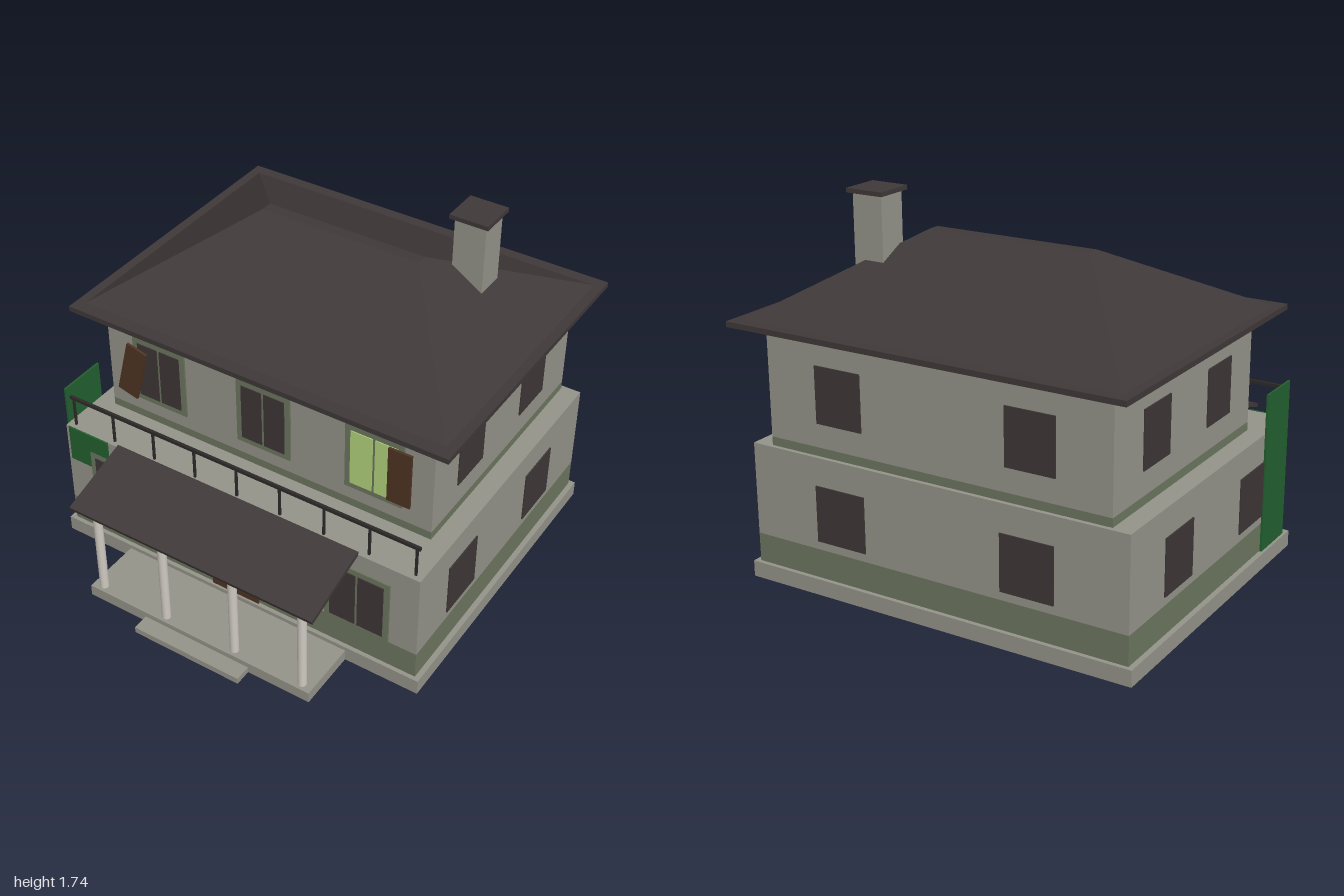
import * as THREE from 'three';

const colours = {
  wall: 0x94938a, roof: 0x3f3838, trim: 0x6c765f, wood: 0x4e3422, cloth: 0x22602f,
  litGlass: 0xb2d47c, column: 0xcfcac1, iron: 0x2e2929, brass: 0xd0ca8c, glass: 0x3e3636,
};

export function createModel() {
  const house = new THREE.Group();
  house.name = 'house';
  const mats = {};
  for (const [name, color] of Object.entries(colours)) {
    mats[name] = new THREE.MeshStandardMaterial({ color });
    mats[name].name = name;
  }

  function add(name, geometry, mat, parent = house) {
    const mesh = new THREE.Mesh(geometry, mats[mat]);
    mesh.name = name;
    parent.add(mesh);
    return mesh;
  }
  // Box given by its limits on each axis
  function block(name, mat, [x0, x1], [y0, y1], [z0, z1], parent) {
    const mesh = add(name, new THREE.BoxGeometry(x1 - x0, y1 - y0, z1 - z0), mat, parent);
    mesh.position.set((x0 + x1) / 2, (y0 + y1) / 2, (z0 + z1) / 2);
    return mesh;
  }

  // Plinth and porch steps
  block('plinth', 'wall', [-0.96, 0.96], [0, 0.075], [-0.92, 0.625]);
  block('porchFloor', 'wall', [-0.595, 0.595], [0, 0.055], [0.62, 0.92]);
  block('frontStep', 'wall', [-0.28, 0.28], [0, 0.03], [0.915, 1]);

  // Two storeys, each with a painted band at its foot
  const groundX = [-0.935, 0.935], groundZ = [-0.9, 0.605];
  const upperX = [-0.845, 0.845], upperZ = [-0.88, 0.36];
  block('groundBand', 'trim', groundX, [0.075, 0.21], groundZ);
  block('groundFloor', 'wall', groundX, [0.21, 0.64], groundZ);
  block('upperBand', 'trim', upperX, [0.64, 0.68], upperZ);
  block('upperFloor', 'wall', upperX, [0.68, 1.2], upperZ);

  // Hipped roof: a box whose top is drawn in to a narrow ridge
  block('eaves', 'roof', [-0.96, 0.96], [1.19, 1.215], [-1, 0.475]);
  const hip = new THREE.BoxGeometry(1.83, 0.325, 1.355).toNonIndexed();
  const p = hip.attributes.position;
  for (let i = 0; i < p.count; i++) {
    if (p.getY(i) > 0) {
      p.setX(i, Math.sign(p.getX(i)) * 0.4);
      p.setZ(i, Math.sign(p.getZ(i)) * 0.028 + 0.005);
    }
  }
  hip.computeVertexNormals();
  add('hippedRoof', hip, 'roof').position.set(0, 1.3775, -0.2675);

  // Chimney
  block('chimneyStack', 'wall', [0.485, 0.635], [1.3, 1.72], [-0.52, -0.375]);
  block('chimneyCap', 'roof', [0.465, 0.65], [1.718, 1.738], [-0.545, -0.36]);

  // Plain windows on the sides and back
  const storeys = [
    { y: [0.79, 1.05], x: 0.845, back: -0.88, spans: [[-0.07, 0.15], [-0.64, -0.415]], bx: [0.355, 0.59] },
    { y: [0.25, 0.51], x: 0.935, back: -0.9, spans: [[0.105, 0.35], [-0.605, -0.36]], bx: [0.34, 0.595] },
  ];
  for (const s of storeys) {
    for (const side of [-1, 1]) {
      const sides = [side * s.x, side * (s.x + 0.006)].sort((a, b) => a - b);
      for (const span of s.spans) block('sideWindow', 'glass', sides, s.y, span);
      const bx = s.bx.map((v) => v * side).sort((a, b) => a - b);
      block('backWindow', 'glass', bx, s.y, [s.back - 0.006, s.back]);
    }
  }

  // Framed front windows with two panes each
  function frontWindow(x, y, w, h, wall, paneMat) {
    const g = new THREE.Group();
    g.name = 'frontWindow';
    g.position.set(x, y, wall);
    house.add(g);
    block('windowFrame', 'trim', [-w / 2, w / 2], [-h / 2, h / 2], [0, 0.008], g);
    const px = w / 2 - 0.028, py = h / 2 - 0.028;
    block('leftPane', paneMat, [0.006, px], [-py, py], [0.006, 0.012], g);
    block('rightPane', paneMat, [-px, -0.006], [-py, py], [0.006, 0.012], g);
  }
  frontWindow(-0.56, 0.92, 0.285, 0.34, 0.36, 'glass');
  frontWindow(0, 0.92, 0.28, 0.34, 0.36, 'glass');
  frontWindow(0.56, 0.92, 0.285, 0.34, 0.36, 'litGlass');
  for (const x of [-0.637, 0.637]) frontWindow(x, 0.378, 0.322, 0.34, 0.605, 'glass');

  // Shutters, one of them hanging loose
  block('shutter', 'wood', [0.635, 0.747], [0.78, 1.063], [0.372, 0.384]);
  const loose = block('looseShutter', 'wood', [-0.76, -0.65], [0.76, 1.04], [0.373, 0.385]);
  loose.rotation.z = -0.25;

  // Front door
  block('door', 'wood', [-0.125, 0.125], [0.075, 0.525], [0.6, 0.614]);
  block('doorHandle', 'brass', [0.075, 0.09], [0.278, 0.305], [0.612, 0.624]);

  // Porch canopy on round columns
  const canopy = add('porchCanopy', new THREE.BoxGeometry(1.27, 0.02, 0.372), 'roof');
  canopy.position.set(0, 0.59, 0.777);
  canopy.rotation.x = 0.3;
  for (const x of [-0.543, -0.188, 0.185, 0.54]) {
    add('porchColumn', new THREE.CylinderGeometry(0.021, 0.021, 0.495, 16), 'column')
      .position.set(x, 0.302, 0.885);
  }

  // Balcony railing
  block('handrail', 'iron', [-0.915, 0.915], [0.785, 0.8], [0.57, 0.584]);
  for (let i = -4; i <= 4; i++) {
    const x = i * 0.2245;
    block('railingPost', 'iron', [x - 0.005, x + 0.005], [0.64, 0.79], [0.572, 0.582]);
  }

  // Green cloths hanging at the corner of the terrace
  block('frontCloth', 'cloth', [-0.915, -0.692], [0.455, 0.642], [0.605, 0.613]);
  block('sideCloth', 'cloth', [-0.947, -0.937], [0.075, 0.828], [0.345, 0.582]);

  return house;
}
